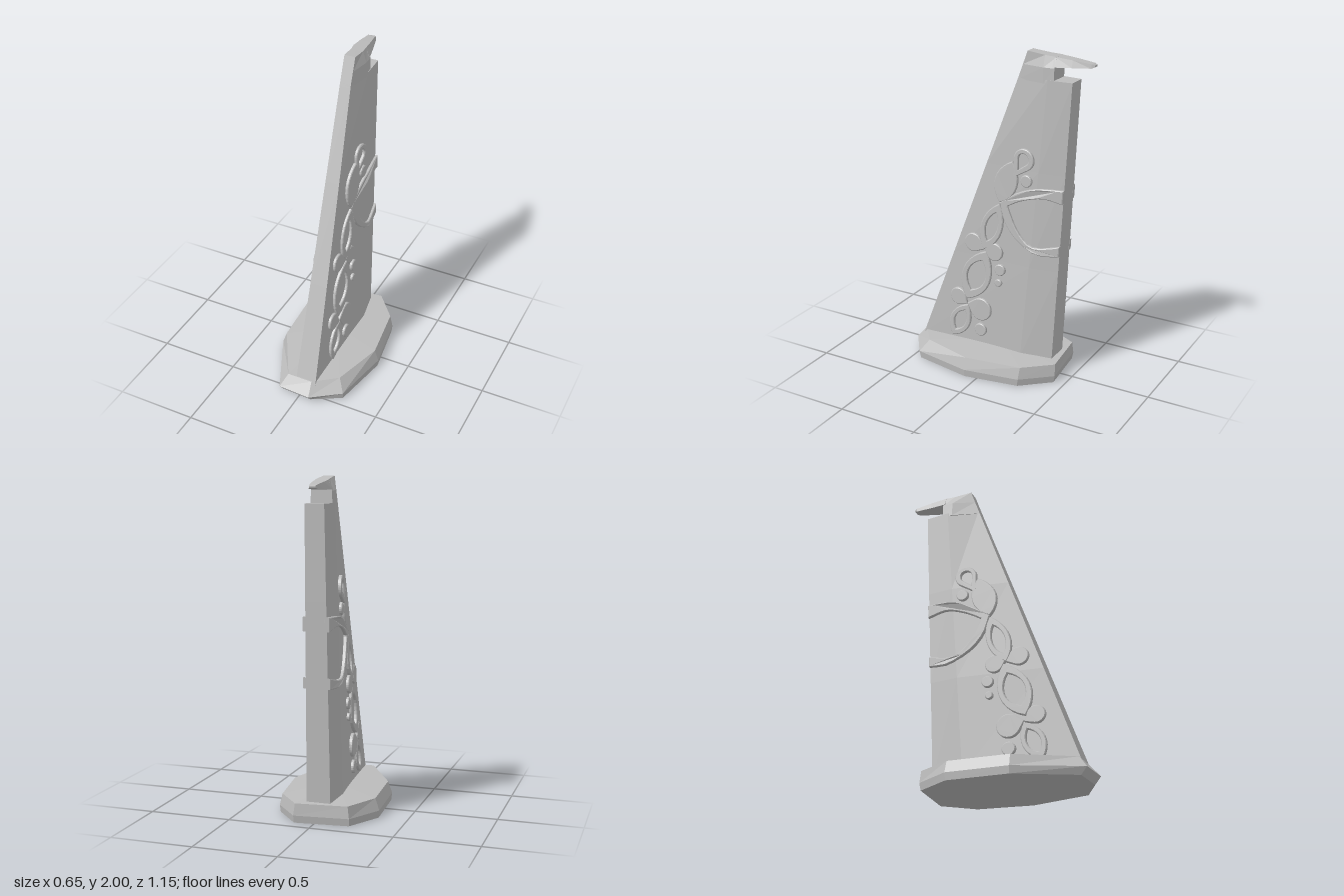
import * as THREE from 'three';

const stone = new THREE.MeshStandardMaterial({ color: 0xbcbcbc, flatShading: true });
stone.name = 'grey stone';

const mix = (a, b, t) => a + (b - a) * t;

// Skin a stack of rings (counter-clockwise seen from the last ring) and cap both ends.
function loft(rings, endCentre) {
  const pos = rings.flat(2), idx = [], n = rings[0].length, last = rings.length - 1;
  for (let r = 0; r < last; r++) {
    for (let i = 0; i < n; i++) {
      const j = (i + 1) % n, a = r * n, b = a + n;
      idx.push(a + i, a + j, b + j, a + i, b + j, b + i);
    }
  }
  const centre = ring => [0, 1, 2].map(k => ring.reduce((s, p) => s + p[k], 0) / n);
  const c0 = pos.length / 3;
  pos.push(...centre(rings[0]), ...(endCentre || centre(rings[last])));
  for (let i = 0; i < n; i++) {
    const j = (i + 1) % n;
    idx.push(c0, j, i, c0 + 1, last * n + i, last * n + j);
  }
  const g = new THREE.BufferGeometry();
  g.setAttribute('position', new THREE.Float32BufferAttribute(pos, 3));
  g.setIndex(idx);
  const flat = g.toNonIndexed();
  flat.computeVertexNormals();
  return flat;
}

// Blade cross-section at a height: z stations front, fold, back with x on either side.
function section(y) {
  const t = (y - 0.13) / 1.72;
  return {
    z: [0.5 - 0.364 * (y - 0.13), mix(-0.19, -0.32, t), mix(-0.385, -0.47, t)],
    left: [mix(0.095, 0.018, t), mix(0.095, 0.04, t), mix(0.055, 0.03, t)],
    right: [mix(-0.035, -0.05, t), mix(-0.105, -0.1, t), mix(-0.09, -0.085, t)],
  };
}

// Ring of six corners: left side front to back, then right side back to front.
function bladeRing(y) {
  const { z, left, right } = section(y);
  return [...[0, 1, 2].map(i => [left[i], y, z[i]]), ...[2, 1, 0].map(i => [right[i], y, z[i]])];
}

// x of the blade's side surface at (z, y).
function surfaceX(side, z, y) {
  const s = section(y), xs = side > 0 ? s.left : s.right, k = z > s.z[1] ? 0 : 1;
  const t = (z - s.z[k]) / (s.z[k + 1] - s.z[k]);
  return mix(xs[k], xs[k + 1], Math.min(1, Math.max(0, t)));
}

// Raised ornament: extrude a (z, y) shape and lay it on one side of the blade.
function relief(shape, side) {
  const depth = 0.024;
  const g = new THREE.ExtrudeGeometry(shape, {
    depth, curveSegments: 10, bevelEnabled: true, bevelThickness: 0.004,
    bevelSize: 0.005, bevelOffset: -0.005, bevelSegments: 1,
  });
  const p = g.attributes.position;
  for (let i = 0; i < p.count; i++) {
    const z = p.getX(i), y = p.getY(i), w = p.getZ(i);
    p.setXYZ(i, surfaceX(side, z, y) + side * 0.002 + depth / 2 - w, y, z);
  }
  g.computeVertexNormals();
  return g;
}

// Pointed leaf between two tips.
function leafPath(P, a, b, half) {
  const dx = b[0] - a[0], dy = b[1] - a[1], l = Math.hypot(dx, dy);
  const nx = -dy / l * half * 1.33, ny = dx / l * half * 1.33;
  const at = (t, s) => [a[0] + dx * t + nx * s, a[1] + dy * t + ny * s];
  const p = new P();
  p.moveTo(...a);
  p.bezierCurveTo(...at(0.25, -1), ...at(0.7, -1), ...b);
  p.bezierCurveTo(...at(0.7, 1), ...at(0.25, 1), ...a);
  return p;
}
function leaf(a, b, half, border) {
  const s = leafPath(THREE.Shape, a, b, half);
  if (border) {
    const at = t => [mix(a[0], b[0], t), mix(a[1], b[1], t)];
    s.holes.push(leafPath(THREE.Path, at(0.19), at(0.81), half - border));
  }
  return s;
}

// Round drop with a point at the tip.
function dropPath(P, c, r, tip) {
  const d = Math.hypot(tip[0] - c[0], tip[1] - c[1]);
  const dir = Math.atan2(tip[1] - c[1], tip[0] - c[0]);
  const open = Math.acos(Math.min(0.98, r / d));
  const p = new P();
  p.moveTo(...tip);
  p.absarc(...c, r, dir + open, dir - open + Math.PI * 2, false);
  p.lineTo(...tip);
  return p;
}
const drop = (c, r, tip) => dropPath(THREE.Shape, c, r, tip);
function disc(z, y, r) {
  const s = new THREE.Shape();
  s.absarc(z, y, r, 0, Math.PI * 2, false);
  return s;
}

// Large open loop that runs out at the back edge.
function loopShape() {
  const v = list => list.map(p => new THREE.Vector2(...p));
  const curve = list => new THREE.SplineCurve(v(list)).getPoints(10);
  return new THREE.Shape([
    ...curve([[-0.44, 1.215], [-0.28, 1.205], [-0.15, 1.16], [-0.03, 1.08]]),
    ...curve([[-0.035, 1.07], [-0.07, 0.96], [-0.15, 0.865], [-0.28, 0.795], [-0.42, 0.8]]),
    ...curve([[-0.423, 0.865], [-0.28, 0.835], [-0.2, 0.87], [-0.135, 0.95], [-0.087, 1.055]]),
    ...curve([[-0.085, 1.065], [-0.18, 1.115], [-0.31, 1.15], [-0.435, 1.13]]),
  ]);
}

export function createModel() {
  const model = new THREE.Group();
  const add = (name, geometry, parent = model) => {
    const m = new THREE.Mesh(geometry, stone);
    m.name = name;
    parent.add(m);
  };

  // Rough-cut base: outer and top outlines, counter-clockwise from above
  const outer = [[-0.33, -0.19], [-0.305, 0.185], [-0.125, 0.565], [0.08, 0.575], [0.255, 0.45],
    [0.325, 0.08], [0.27, -0.265], [0.12, -0.44], [-0.21, -0.405]];
  const top = [[-0.305, -0.19], [-0.28, 0.18], [-0.09, 0.51], [0.07, 0.51], [0.21, 0.4],
    [0.3, 0.08], [0.25, -0.27], [0.11, -0.435], [-0.2, -0.4]];
  add('base', loft([
    outer.map(([x, z]) => [x * 0.985, 0, z > 0.5 ? z - 0.035 : z * 0.98]),
    outer.map(([x, z]) => [x, 0.045, z]),
    top.map(([x, z]) => [x, 0.118, z]),
  ], [0, 0.136, 0]));

  // Tapering blade with a fold along each side
  add('blade', loft([0.1, 0.7, 1.3, 1.85].map(bladeRing)));

  // Head of the blade, narrowing to the top edge
  const headRing = (y, w, drops) => {
    const zf = section(y).z[0];
    const z = [zf, -0.29, -0.357];
    const l = [0.018, mix(0.04, 0.015, w), mix(0.035, 0.005, w)];
    const r = [-0.05, mix(-0.1, -0.06, w), mix(-0.095, -0.075, w)];
    return [...[0, 1, 2].map(i => [l[i], y - drops[i], z[i]]),
      ...[2, 1, 0].map(i => [r[i], y - drops[i], z[i]])];
  };
  add('head', loft([headRing(1.83, 0, [0, 0, 0]), headRing(1.92, 0.1, [0, 0, 0]),
    headRing(2, 1, [0, 0.013, 0.02])]));

  // Hook pointing backwards above the notch
  const hookRing = (z, y0, y1, b0, b1, t0, t1) =>
    [[b0, y0, z], [t0, y1, z], [t1, y1, z], [b1, y0, z]];
  add('hook', loft([
    hookRing(-0.345, 1.925, 1.981, -0.095, 0.033, -0.073, 0.006),
    hookRing(-0.45, 1.928, 1.969, -0.085, 0.005, -0.077, -0.01),
    hookRing(-0.555, 1.931, 1.955, -0.08, -0.025, -0.076, -0.03),
    hookRing(-0.573, 1.938, 1.948, -0.072, -0.034, -0.07, -0.036),
  ]));

  // Climbing leaf ornament, repeated on both sides
  const tear = dropPath(THREE.Shape, [-0.185, 1.365], 0.067, [-0.12, 1.25]);
  tear.holes.push(dropPath(THREE.Path, [-0.183, 1.368], 0.035, [-0.148, 1.3]));
  const ornaments = {
    lowerLeaf: leaf([0.29, 0.14], [0.18, 0.37], 0.07, 0.03),
    lowerFrontDrop: drop([0.252, 0.412], 0.055, [0.185, 0.37]),
    lowerBackDrop: drop([0.09, 0.357], 0.073, [0.185, 0.38]),
    lowerBead: disc(0.09, 0.22, 0.041),
    middleLeaf: leaf([0.19, 0.41], [0.055, 0.75], 0.098, 0.034),
    middleFrontDrop: drop([0.15, 0.79], 0.058, [0.07, 0.76]),
    middleBackDrop: drop([0.0, 0.755], 0.056, [0.068, 0.765]),
    middleBead: disc(-0.04, 0.647, 0.036),
    tinyBead: disc(-0.03, 0.56, 0.024),
    upperLeaf: leaf([0.075, 0.76], [-0.03, 1.07], 0.072, 0.032),
    topLeaf: leaf([-0.03, 1.08], [-0.11, 1.345], 0.076),
    topBead: disc(-0.205, 1.24, 0.037),
    topTear: tear,
    backLoop: loopShape(),
  };
  for (const side of [1, -1]) {
    const g = new THREE.Group();
    g.name = side > 0 ? 'leftOrnament' : 'rightOrnament';
    for (const [name, shape] of Object.entries(ornaments)) add(name, relief(shape, side), g);
    model.add(g);
  }
  return model;
}
